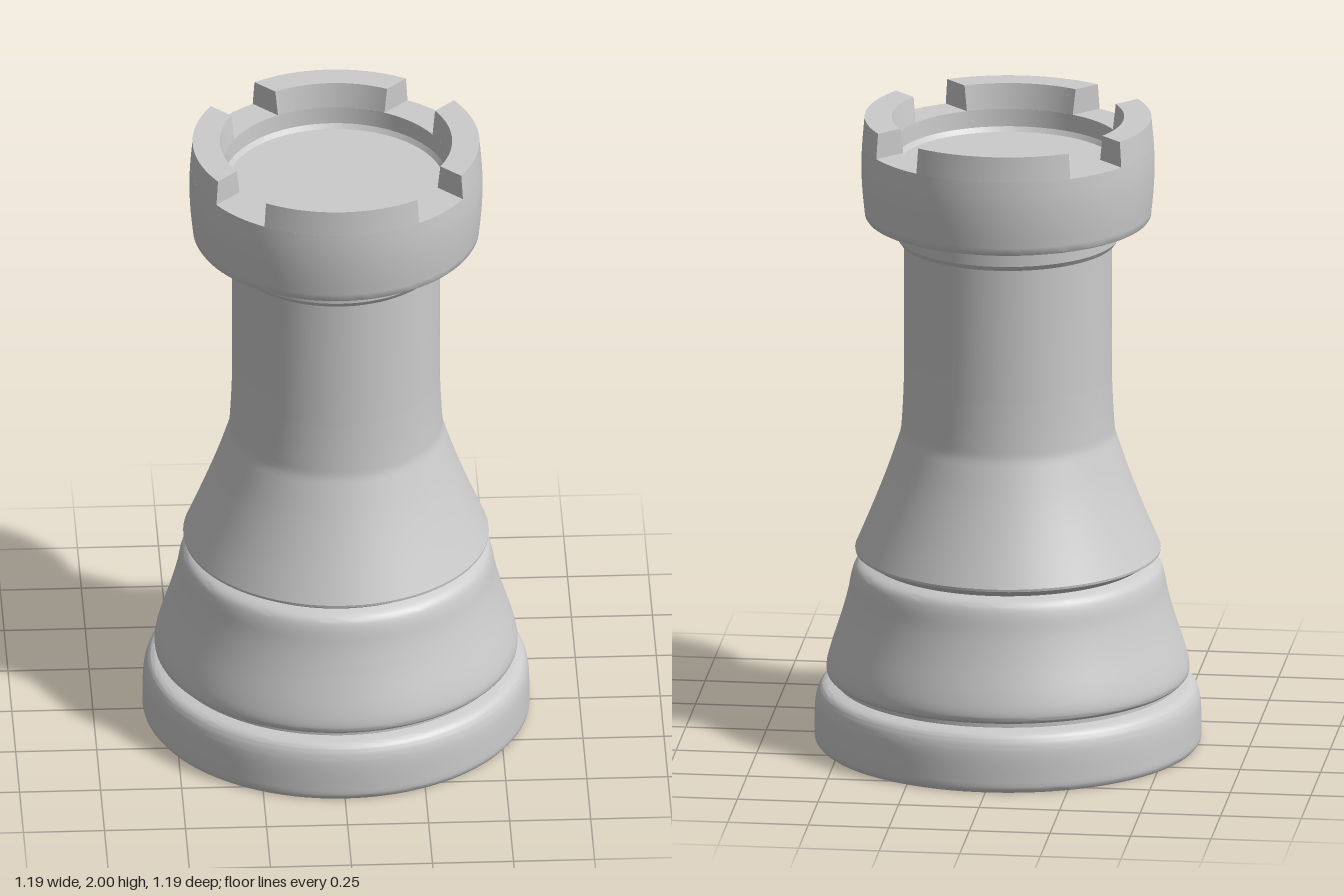
import * as THREE from 'three';
import { toCreasedNormals } from 'three/addons/utils/BufferGeometryUtils.js';

const SEGMENTS = 96;
const CREASE = 0.5;
const NOTCH_HALF = 0.1;   // half width of each battlement gap
const NOTCH_FLOOR = 1.92;

const material = new THREE.MeshStandardMaterial({ color: 0xcccccc });

const points = (list) => list.map(([r, y]) => new THREE.Vector2(r, y));

// Smooth run of profile points through a few controls
const curve = (list, n = 20) => new THREE.SplineCurve(points(list)).getPoints(n);

function turned(name, profile) {
  const geometry = toCreasedNormals(new THREE.LatheGeometry(profile, SEGMENTS), CREASE);
  const mesh = new THREE.Mesh(geometry, material);
  mesh.name = name;
  return mesh;
}

// One upright of the battlement: a box bent round the rim, with gap sides kept parallel
function merlon() {
  const height = 2 - NOTCH_FLOOR;
  const geometry = new THREE.BoxGeometry(1, 1, 1, 20, 2, 2);
  const p = geometry.attributes.position;
  for (let i = 0; i < p.count; i++) {
    const t = p.getY(i) + 0.5;
    const inner = THREE.MathUtils.lerp(0.347, 0.358, t);
    const outer = THREE.MathUtils.lerp(0.449, 0.442, t);
    const r = THREE.MathUtils.lerp(inner, outer, p.getZ(i) + 0.5);
    const angle = p.getX(i) * 2 * (Math.PI / 4 - Math.asin(NOTCH_HALF / r));
    p.setXYZ(i, r * Math.sin(angle), NOTCH_FLOOR + t * height, r * Math.cos(angle));
  }
  return toCreasedNormals(geometry, CREASE);
}

export function createModel() {
  const model = new THREE.Group();
  model.name = 'rook';

  // Round foot with softened upper edge, ending in the groove
  model.add(turned('foot', [
    ...points([[0, 0], [0.587, 0], [0.595, 0.01]]),
    ...curve([[0.597, 0.02], [0.595, 0.11], [0.587, 0.155], [0.57, 0.18], [0.54, 0.19]]),
    ...points([[0.53, 0.192], [0.53, 0.208]]),
  ]));

  // Bell-shaped lower body
  model.add(turned('lowerBody', [
    ...points([[0.53, 0.208]]),
    ...curve([[0.545, 0.209], [0.558, 0.222], [0.558, 0.25], [0.545, 0.3], [0.516, 0.39],
      [0.494, 0.47], [0.481, 0.535], [0.465, 0.568], [0.43, 0.585]], 32),
  ]));

  // Flared skirt rising into the straight shaft
  model.add(turned('shaft', [
    ...points([[0.43, 0.585], [0.47, 0.61], [0.471, 0.618]]),
    ...curve([[0.468, 0.625], [0.418, 0.745], [0.372, 0.865], [0.332, 0.985]], 16),
    ...curve([[0.329, 1.0], [0.324, 1.08], [0.32, 1.18]], 8),
    ...points([[0.32, 1.602]]),
  ]));

  // Collar under the crown
  model.add(turned('collar', points([
    [0.32, 1.602], [0.332, 1.602], [0.343, 1.618], [0.343, 1.682],
  ])));

  // Bulging crown with a recessed floor
  model.add(turned('crown', [
    ...points([[0.343, 1.682], [0.437, 1.682]]),
    ...curve([[0.441, 1.688], [0.449, 1.77], [0.452, 1.85], [0.449, NOTCH_FLOOR]], 10),
    ...points([[0.347, NOTCH_FLOOR], [0.345, 1.865], [0.335, 1.85], [0, 1.85]]),
  ]));

  // Four uprights, with gaps on the diagonals
  const battlement = new THREE.Group();
  battlement.name = 'battlement';
  const merlonGeometry = merlon();
  for (let i = 0; i < 4; i++) {
    const mesh = new THREE.Mesh(merlonGeometry, material);
    mesh.name = 'merlon';
    mesh.rotation.y = i * Math.PI / 2;
    battlement.add(mesh);
  }
  model.add(battlement);

  return model;
}
